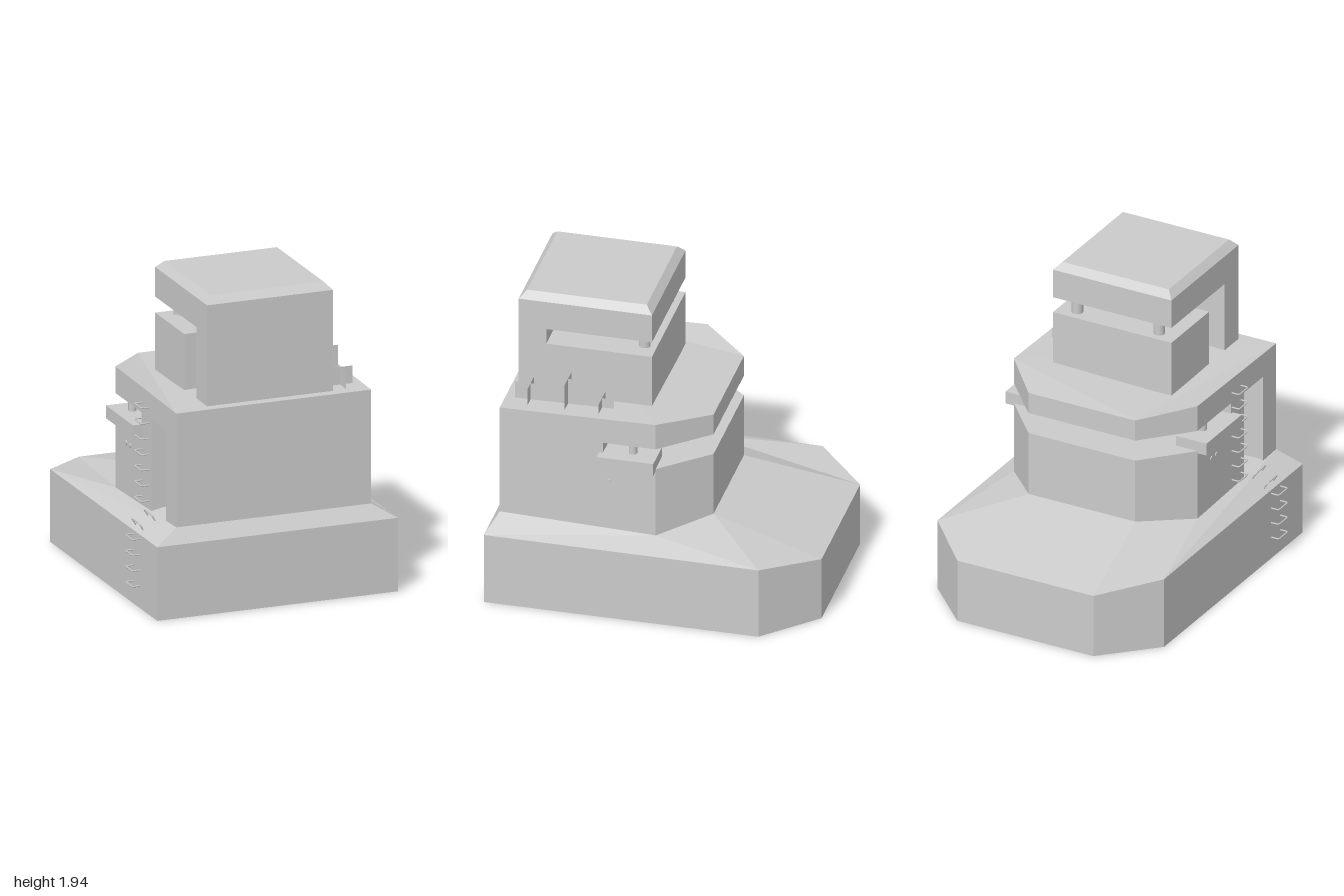
import * as THREE from 'three';

const grey = new THREE.MeshStandardMaterial({ color: 0xcccccc, flatShading: true });
const thin = new THREE.MeshStandardMaterial({ color: 0xcccccc, flatShading: true, side: THREE.DoubleSide });
const smooth = new THREE.MeshStandardMaterial({ color: 0xcccccc });

const CX = 0.025; // the tower axis sits slightly off centre because of the ladder

export function createModel() {
  const model = new THREE.Group();

  const add = (name, geometry, material = grey) => {
    const mesh = new THREE.Mesh(geometry, material);
    mesh.name = name;
    model.add(mesh);
    return mesh;
  };

  // Solid layer: a plan of [x, z] points raised from y0 to y1
  const layer = (plan, y0, y1) => {
    const shape = new THREE.Shape(plan.map(([x, z]) => new THREE.Vector2(x, -z)));
    return new THREE.ExtrudeGeometry(shape, { depth: y1 - y0, bevelEnabled: false })
      .rotateX(-Math.PI / 2).translate(0, y0, 0);
  };

  const box = (x0, x1, y0, y1, z0, z1) => new THREE.BoxGeometry(x1 - x0, y1 - y0, z1 - z0)
    .translate((x0 + x1) / 2, (y0 + y1) / 2, (z0 + z1) / 2);

  // Skin over stacked loops of [x, y, z], closed by a lid on the last loop
  const loft = (loops) => {
    const pos = [];
    for (let k = 0; k + 1 < loops.length; k++) {
      const a = loops[k], b = loops[k + 1];
      a.forEach((p, i) => {
        const j = (i + 1) % a.length;
        pos.push(...p, ...a[j], ...b[j], ...p, ...b[j], ...b[i]);
      });
    }
    const lid = loops[loops.length - 1];
    for (let i = 1; i + 1 < lid.length; i++) pos.push(...lid[0], ...lid[i], ...lid[i + 1]);
    const g = new THREE.BufferGeometry();
    g.setAttribute('position', new THREE.Float32BufferAttribute(pos, 3));
    g.computeVertexNormals();
    return g;
  };

  // Six-sided plan: straight front, chamfered rear; ys = front, shoulder, rear heights
  const hexLoop = (half, zFront, zShoulder, rearHalf, zRear, ys) => [
    [CX - half, ys[0], zFront], [CX + half, ys[0], zFront], [CX + half, ys[1], zShoulder],
    [CX + rearHalf, ys[2], zRear], [CX - rearHalf, ys[2], zRear], [CX - half, ys[1], zShoulder],
  ];
  const baseLoop = (ys) => hexLoop(0.775, 1, -0.69, 0.465, -1, ys);
  const tierLoop = (ys) => hexLoop(0.628, 0.94, -0.02, 0.365, -0.31, ys);

  // Hollow base, its ceiling, and the sloping skirt up to the middle tier
  const rim = baseLoop([0.46, 0.455, 0.405]);
  add('baseWalls', loft([baseLoop([0, 0, 0]), rim]), thin);
  add('skirt', loft([rim, tierLoop([0.55, 0.52, 0.565])]));

  // Middle tier: lower block with a doorway, front wall beside the slit, roof slab
  const L = CX - 0.628, R = CX + 0.628;
  const doorway = [[L, 0.55], [-0.3, 0.55], [-0.3, 0.78], [L, 0.78]];
  const hexPlan = tierLoop([0, 0, 0]).map(([x, , z]) => [x, z]);
  add('middleTierLower', layer([...hexPlan, ...doorway], 0.5, 0.975));
  add('middleTierFrontWall', layer(
    [[L, 0.94], [R, 0.94], [R, 0.305], [0, 0.305], [0, 0.39], [L, 0.39], ...doorway], 0.975, 1.11));
  const roof = layer(hexPlan, 1.11, 1.26);
  const p = roof.attributes.position;
  for (let i = 0; i < p.count; i++) {
    if (p.getY(i) < 1.2) continue;
    const z = p.getZ(i);
    p.setY(i, z > 0.5 ? 1.262 : z > -0.1 ? 1.277 : 1.245);
  }
  roof.computeVertexNormals();
  add('middleTierRoof', roof);

  // Side ledges in the slit and the posts holding up the roof
  add('leftLedge', box(0.5, 0.71, 0.96, 1.04, -0.02, 0.33));
  add('rightLedge', box(-0.665, -0.457, 0.96, 1.04, -0.02, 0.41));
  const post = (name, x, z, y0, y1, r) =>
    add(name, new THREE.CylinderGeometry(r, r, y1 - y0, 12).translate(x, (y0 + y1) / 2, z), smooth);
  for (const dx of [-0.58, -0.3, 0.3, 0.58]) post('middlePost', CX + dx, 0.13, 0.97, 1.115, 0.025);

  // Upper tier: block with a doorway, front wall, slab and bevelled cap
  const uL = -0.38, uR = 0.43;
  add('upperTierLower', layer([[uL, 0.88], [uR, 0.88], [uR, 0.06], [uL, 0.06],
    [uL, 0.52], [-0.1, 0.52], [-0.1, 0.71], [uL, 0.71]], 1.255, 1.61));
  add('upperTierFrontWall', box(uL, uR, 1.61, 1.71, 0.71, 0.88));
  add('upperTierSlab', box(uL, uR, 1.71, 1.895, 0.06, 0.88));
  const capLoop = (inset, y) => [[uL + inset, y, 0.88 - inset], [uR - inset, y, 0.88 - inset],
    [uR - inset, y, 0.06 + inset], [uL + inset, y, 0.06 + inset]];
  add('upperTierCap', loft([capLoop(0, 1.895), capLoop(0.042, 1.94)]));
  for (const dx of [-0.28, 0.28]) post('upperPost', CX + dx, 0.135, 1.605, 1.715, 0.035);

  // Crossed upright plates on the roof: [zStart, zEnd, top]
  for (const [z0, z1, top] of [[0.69, 0.88, 1.375], [0.42, 0.69, 1.437], [0.27, 0.42, 1.335]]) {
    const h = top - 1.265, y = 1.265 + h / 2, zc = (z0 + z1) / 2;
    add('plateLengthwise', new THREE.PlaneGeometry(z1 - z0, h).rotateY(Math.PI / 2).translate(0.515, y, zc), thin);
    add('plateCrosswise', new THREE.PlaneGeometry(0.16, h).translate(0.515, y, zc), thin);
  }

  // Ladder rungs: bent bars standing out from the wall, tilted on the skirt
  const rung = (x, y, z0, z1, tilt = 0) => {
    const d = 0.05, w = (z1 - z0) / 2;
    const path = new THREE.CurvePath();
    const pts = [[0.01, -w], [-d + 0.008, -w], [-d, -w + 0.008], [-d, w - 0.008], [-d + 0.008, w], [0.01, w]]
      .map(([px, pz]) => new THREE.Vector3(px, 0, pz));
    for (let i = 0; i + 1 < pts.length; i++) path.add(new THREE.LineCurve3(pts[i], pts[i + 1]));
    const mesh = add('ladderRung', new THREE.TubeGeometry(path, 30, 0.005, 6), smooth);
    mesh.position.set(x, y, (z0 + z1) / 2);
    mesh.rotation.z = tilt;
  };
  for (let i = 0; i < 4; i++) rung(-0.75, 0.14 + i * 0.098, 0.62, 0.73);
  for (let i = 0; i < 7; i++) rung(L, 0.59 + i * 0.0975, 0.4, 0.51);
  rung(-0.718, 0.478, 0.585, 0.7, -1.02);
  rung(-0.64, 0.525, 0.585, 0.7, -1.02);

  // Small round studs on the side walls
  for (const [x, z] of [[R, 0.27], [L, 0.15], [L, 0.21]]) {
    add('wallStud', new THREE.CylinderGeometry(0.015, 0.015, 0.012, 12)
      .rotateZ(Math.PI / 2).translate(x, 0.85, z), smooth);
  }

  return model;
}
